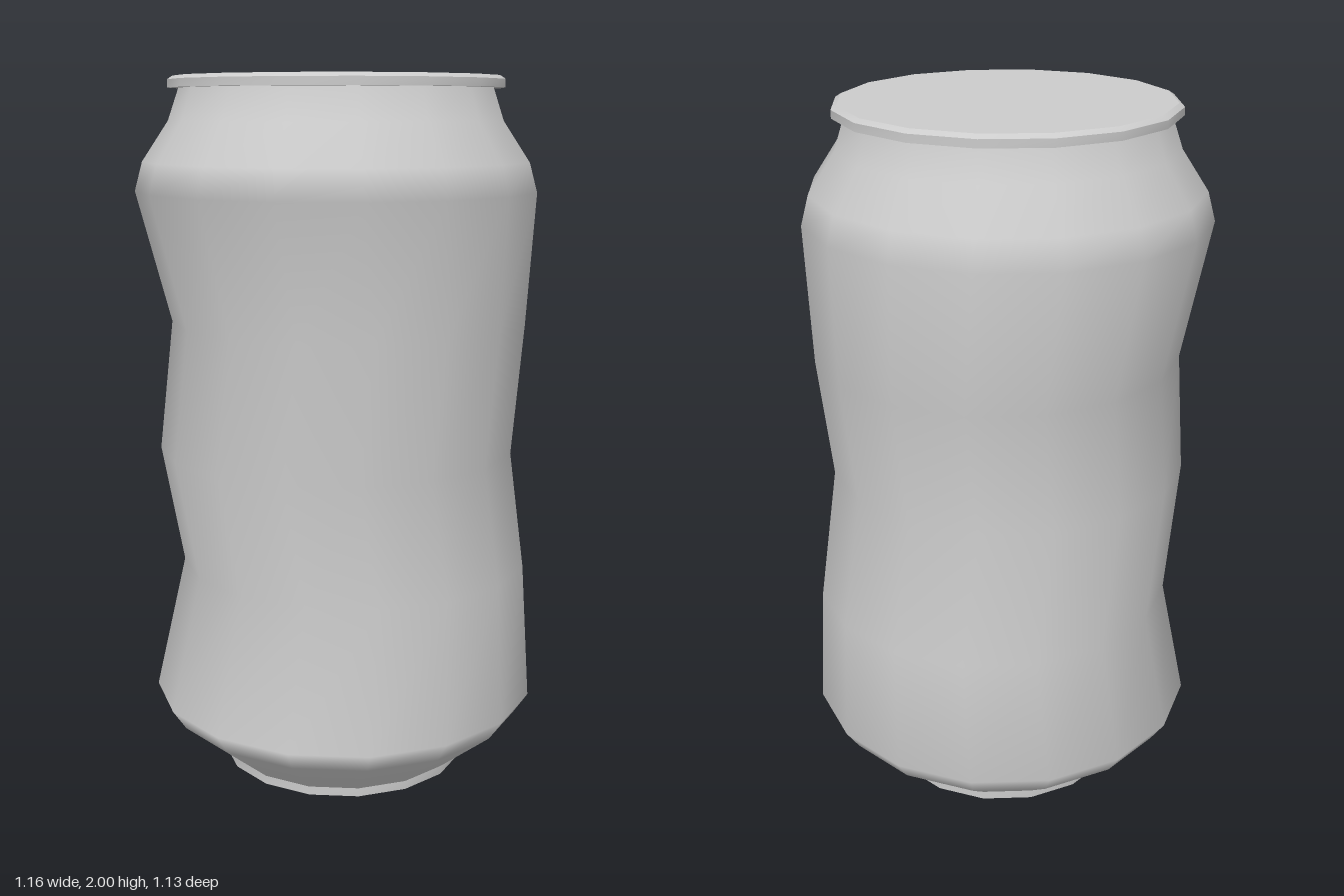
import * as THREE from 'three';

const SIDES = 16;
const material = new THREE.MeshStandardMaterial({ color: 0xcccccc });

// Smooth skin through circular rings, each given as [height, radius, sideways shift]
function loft(rings) {
  const positions = [], index = [];
  rings.forEach(([y, r, shift], j) => {
    for (let i = 0; i < SIDES; i++) {
      const a = (i / SIDES) * Math.PI * 2;
      positions.push(shift + r * Math.cos(a), y, -r * Math.sin(a));
      if (j === 0) continue;
      const next = (i + 1) % SIDES;
      const a0 = (j - 1) * SIDES + i, b0 = (j - 1) * SIDES + next;
      const a1 = j * SIDES + i, b1 = j * SIDES + next;
      index.push(a0, b0, b1, a0, b1, a1);
    }
  });
  const geometry = new THREE.BufferGeometry();
  geometry.setAttribute('position', new THREE.Float32BufferAttribute(positions, 3));
  geometry.setIndex(index);
  geometry.computeVertexNormals();
  return geometry;
}

// Flat round end, facing up (1) or down (-1)
function disc(y, r, shift, facing) {
  return new THREE.CircleGeometry(r, SIDES).rotateX(-facing * Math.PI / 2).translate(shift, y, 0);
}

export function createModel() {
  const can = new THREE.Group();
  can.name = 'crumpledCan';
  const add = (name, geometry) => {
    const mesh = new THREE.Mesh(geometry, material);
    mesh.name = name;
    can.add(mesh);
  };

  // Body: rings pushed from side to side make the dents
  add('body', loft([
    [0.025, 0.363, 0.012],
    [0.16, 0.525, 0.015],
    [0.22, 0.565, 0.015],
    [0.6, 0.512, 0.067],
    [0.96, 0.511, -0.019],
    [1.32, 0.511, 0.04],
    [1.69, 0.563, -0.018],
    [1.77, 0.541, -0.018],
    [1.88, 0.467, -0.018],
    [1.968, 0.437, -0.017],
  ]));

  // Foot and base
  add('foot', loft([[0, 0.363, 0.012], [0.025, 0.363, 0.012]]));
  add('base', disc(0, 0.363, 0.012, -1));

  // Rim: underside, wall and bevel are separate so their edges stay sharp
  const c = -0.016;
  add('rimUnderside', loft([[1.968, 0.437, c], [1.968, 0.468, c]]));
  add('rimWall', loft([[1.968, 0.468, c], [1.99, 0.468, c]]));
  add('rimBevel', loft([[1.99, 0.468, c], [2, 0.453, c]]));
  add('lid', disc(2, 0.453, c, 1));

  return can;
}
